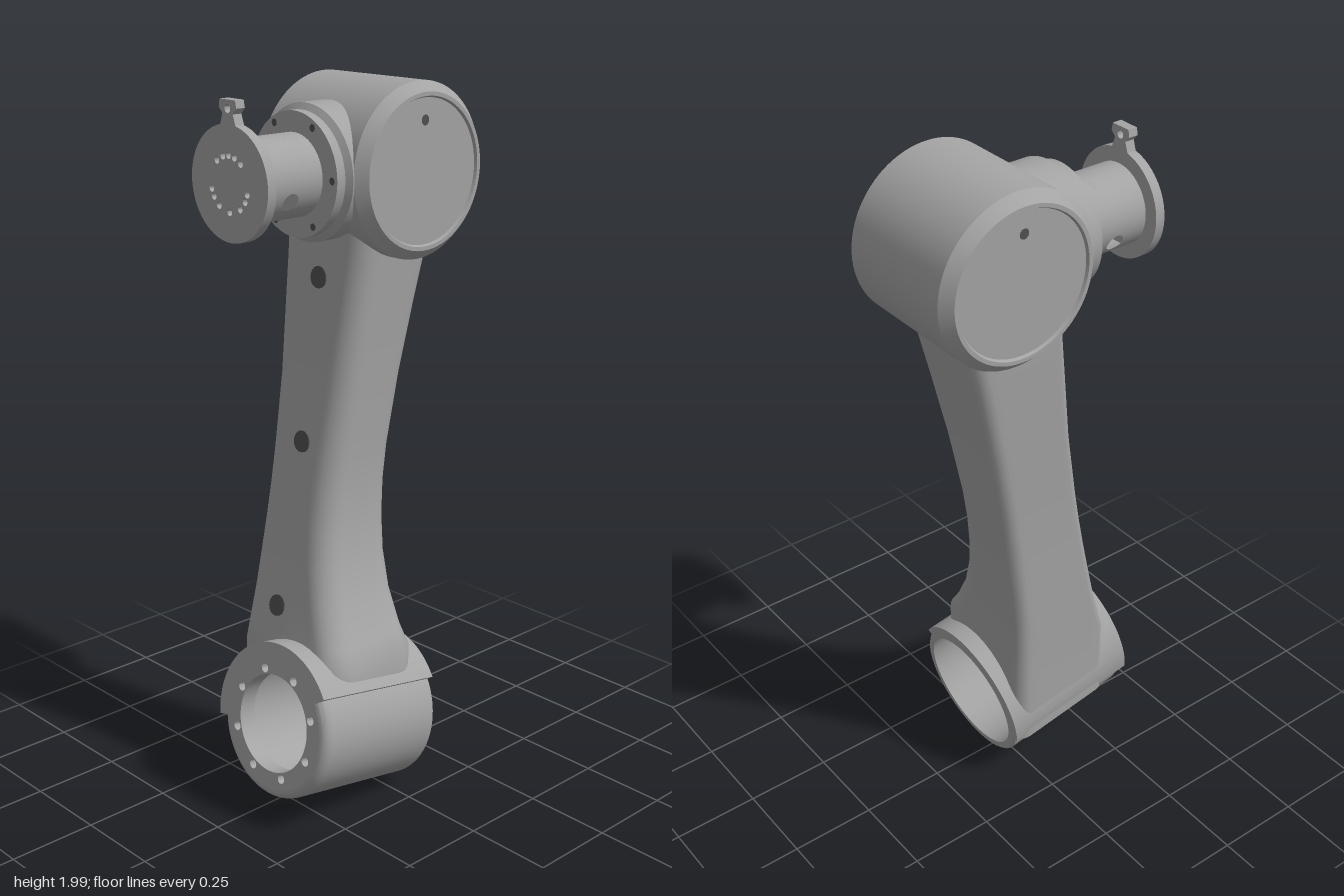
import * as THREE from 'three';
import { toCreasedNormals } from 'three/addons/utils/BufferGeometryUtils.js';

const metal = new THREE.MeshStandardMaterial({ color: 0xa4a4a4, side: THREE.DoubleSide });
metal.name = 'grey metal';
const dark = new THREE.MeshStandardMaterial({ color: 0x505050 });
dark.name = 'dark recess';

const V2 = (x, y) => new THREE.Vector2(x, y);
const WRIST_X = -0.06, HEAD_Y = 1.765;
const BASE = { x: 0.052, y: 0.25, z: 0.128, tilt: THREE.MathUtils.degToRad(10) };

function add(parent, name, geo, mat = metal) {
  const mesh = new THREE.Mesh(geo, mat);
  mesh.name = name;
  parent.add(mesh);
  return mesh;
}

const lathe = (pts, seg = 64) =>
  toCreasedNormals(new THREE.LatheGeometry(pts.map(p => V2(...p)), seg), 0.4);

// lathe turned so that its axis runs along +z
const latheZ = pts => lathe(pts).rotateX(Math.PI / 2);

function circleHole(shape, x, y, r) {
  shape.holes.push(new THREE.Path().absarc(x, y, r, 0, Math.PI * 2, true));
}

const extrude = (shape, depth, z) => toCreasedNormals(
  new THREE.ExtrudeGeometry(shape, { depth, bevelEnabled: false, curveSegments: 32 }), 0.4).translate(0, 0, z);

// Arm outline by height: y, left x, right x, front z, back z
const SECTIONS = [
  [0.00, -0.172, 0.215, 0.255, -0.07],
  [0.45, -0.172, 0.215, 0.252, -0.07],
  [0.50, -0.173, 0.18, 0.238, -0.07],
  [0.60, -0.175, 0.128, 0.21, -0.075],
  [0.70, -0.176, 0.093, 0.187, -0.086],
  [0.80, -0.177, 0.072, 0.165, -0.10],
  [0.90, -0.179, 0.062, 0.144, -0.114],
  [1.00, -0.182, 0.06, 0.125, -0.13],
  [1.20, -0.19, 0.065, 0.09, -0.17],
  [1.40, -0.20, 0.076, 0.064, -0.215],
  [1.53, -0.205, 0.085, 0.048, -0.245],
  [1.65, -0.208, 0.092, 0.04, -0.27],
];

// Rounded rectangle, counter-clockwise seen from above
function armOutline(xl, xr, zf, zb) {
  const corners = [
    [xl, zf, 1, -1, 0.025, Math.PI], [xr, zf, -1, -1, 0.065, 1.5 * Math.PI],
    [xr, zb, -1, 1, 0.075, 0], [xl, zb, 1, 1, 0.045, 0.5 * Math.PI],
  ];
  const arcs = corners.map(([x, z, sx, sz, r, start]) =>
    Array.from({ length: 7 }, (_, i) => {
      const a = start + i / 6 * Math.PI / 2;
      return V2(x + sx * r + r * Math.cos(a), z + sz * r - r * Math.sin(a));
    }));
  const out = [];
  arcs.forEach((arc, k) => {
    out.push(...arc);
    for (let i = 1; i < 10; i++) out.push(arc[6].clone().lerp(arcs[(k + 1) % 4][0], i / 10));
  });
  return out;
}

// Height of the base ring's wall at a point, so the arm ends on the ring
function saddleY(x, z) {
  const dx = x - BASE.x, axis = BASE.y + (z - BASE.z) * Math.tan(BASE.tilt);
  const v = Math.abs(dx) < 0.2 ? Math.sqrt(0.04 - dx * dx) : -0.06;
  return axis + v / Math.cos(BASE.tilt);
}

function armGeometry() {
  const pos = [], idx = [];
  let n = 0;
  SECTIONS.forEach(([y, ...dims], j) => {
    const ring = armOutline(...dims);
    n = ring.length;
    ring.forEach(p => pos.push(p.x, Math.max(y, saddleY(p.x, p.y)), p.y));
    if (j === 0) return;
    for (let i = 0; i < n; i++) {
      const a = (j - 1) * n + i, b = (j - 1) * n + (i + 1) % n;
      idx.push(a, b, b + n, a, b + n, a + n);
    }
  });
  const geo = new THREE.BufferGeometry();
  geo.setAttribute('position', new THREE.Float32BufferAttribute(pos, 3));
  geo.setIndex(idx);
  geo.computeVertexNormals();
  return geo;
}

// Wraps a flat sheet (angle, z) round the z axis
function roll(geo, r) {
  const p = geo.attributes.position, n = geo.attributes.normal;
  for (let i = 0; i < p.count; i++) {
    const c = Math.cos(p.getX(i)), s = Math.sin(p.getX(i));
    p.setXYZ(i, r * c, r * s, p.getY(i));
    n.setXYZ(i, c, s, 0);
  }
  return geo;
}

const sheet = (a0, a1, z0, z1, seg) =>
  new THREE.PlaneGeometry(a1 - a0, z1 - z0, seg, 1).translate((a0 + a1) / 2, (z0 + z1) / 2, 0);

function buildHead(model) {
  const head = new THREE.Group();
  head.name = 'head';
  head.position.set(WRIST_X, HEAD_Y, -0.137);
  model.add(head);
  // Chamfered drum with shallow recessed end covers
  add(head, 'headDrum', lathe([
    [0, -0.202], [0.193, -0.202], [0.197, -0.21], [0.208, -0.21], [0.235, -0.18],
    [0.235, 0.18], [0.208, 0.21], [0.197, 0.21], [0.193, 0.202], [0, 0.202],
  ], 96).rotateZ(-Math.PI / 2));
  for (const s of [-1, 1]) {
    const hole = add(head, 'coverHole', new THREE.CircleGeometry(0.014, 20), dark);
    hole.position.set(s * 0.204, 0.135, 0);
    hole.rotation.y = s * Math.PI / 2;
  }
}

function buildWrist(model) {
  const wrist = new THREE.Group();
  wrist.name = 'wrist';
  wrist.position.set(WRIST_X, HEAD_Y, 0);
  model.add(wrist);
  // Mounting pad on the drum, with six bolt holes
  add(wrist, 'wristPad', latheZ([[0, -0.1], [0.182, -0.1], [0.182, 0.1], [0.165, 0.112], [0.165, 0.14], [0, 0.14]]));
  for (let i = 0; i < 6; i++) {
    const a = i * Math.PI / 3;
    add(wrist, 'padBolt', new THREE.CircleGeometry(0.01, 16)
      .translate(0.147 * Math.cos(a), 0.147 * Math.sin(a), 0.142), dark);
  }
  // Hollow neck with a round opening on either side
  const r = 0.11, half = 0.33, z0 = 0.205, z1 = 0.275, centres = [-0.47, Math.PI + 0.47];
  add(wrist, 'neckRear', roll(sheet(0, Math.PI * 2, 0.13, z0, 64), r));
  add(wrist, 'neckFront', roll(sheet(0, Math.PI * 2, z1, 0.335, 64), r));
  add(wrist, 'neckTop', roll(sheet(centres[0] + half, centres[1] - half, z0, z1, 40), r));
  add(wrist, 'neckBottom', roll(sheet(centres[1] + half, centres[0] - half + 2 * Math.PI, z0, z1, 20), r));
  for (const c of centres) {
    const pts = [];
    for (let i = 0; i <= 6; i++) pts.push(V2(c - half + i / 3 * half, z0));
    for (let i = 6; i >= 0; i--) pts.push(V2(c - half + i / 3 * half, z1));
    const shape = new THREE.Shape(pts);
    shape.holes.push(new THREE.Path().absellipse(c, 0.24, 0.026 / r, 0.026, 0, Math.PI * 2, true));
    add(wrist, 'neckOpening', roll(new THREE.ShapeGeometry(shape, 16), r));
  }
  // Tool flange with a locating tab and a ring of holes
  const flange = new THREE.Shape();
  flange.absarc(0, 0, 0.15, Math.PI / 2 + 0.2, Math.PI * 2.5 - 0.2, false);
  for (const [x, y] of [[0.02, 0.175], [0.034, 0.19], [0.03, 0.21], [-0.03, 0.21], [-0.034, 0.19], [-0.02, 0.175]])
    flange.lineTo(x, y);
  circleHole(flange, 0, 0.188, 0.011);
  for (const deg of [50, 72, 90, 108, 130, 195, 212, 235, 270, 305, 328, 345])
    circleHole(flange, 0.072 * Math.cos(deg * Math.PI / 180), 0.072 * Math.sin(deg * Math.PI / 180), 0.009);
  add(wrist, 'toolFlange', extrude(flange, 0.028, 0.33));
}

function buildBase(model) {
  const base = new THREE.Group();
  base.name = 'base';
  base.position.set(BASE.x, BASE.y, BASE.z);
  base.rotation.x = -BASE.tilt;
  model.add(base);
  // Cup wall with a rounded front edge
  const edge = Array.from({ length: 7 }, (_, i) => {
    const a = i / 6 * Math.PI / 2;
    return [0.185 + 0.027 * Math.cos(a), 0.183 + 0.03 * Math.sin(a)];
  });
  add(base, 'baseRing', latheZ([[0.185, -0.213], [0.205, -0.213], [0.212, -0.206], ...edge, [0.185, -0.213]]));
  // Front wall with the bore and eight bolt holes
  const plate = new THREE.Shape().absarc(0, 0, 0.186, 0, Math.PI * 2, false);
  circleHole(plate, 0, 0, 0.137);
  for (let i = 0; i < 8; i++) {
    const a = (i + 0.5) * Math.PI / 4;
    circleHole(plate, 0.154 * Math.cos(a), 0.154 * Math.sin(a), 0.013);
  }
  add(base, 'basePlate', extrude(plate, 0.05, 0.163));
  // Raised clamp over the upper half
  const a0 = 0.63, a1 = 3.36;
  const clamp = new THREE.Shape();
  clamp.absarc(0, 0, 0.226, a0, a1, false);
  clamp.absarc(0, 0, 0.185, a1, a0, true);
  add(base, 'baseClamp', extrude(clamp, 0.426, -0.213));
}

export function createModel() {
  const model = new THREE.Group();
  model.name = 'robotArmLink';
  buildHead(model);
  buildWrist(model);
  add(model, 'arm', armGeometry());
  // Bolt recesses down the front of the arm: y, z, slope
  for (const [y, z, slope] of [[1.48, 0.054, 0.123], [1.03, 0.12, 0.175], [0.57, 0.2184, 0.28]]) {
    const hole = add(model, 'armBoltHole', new THREE.CylinderGeometry(0.03, 0.03, 0.008, 28).rotateX(Math.PI / 2), dark);
    hole.position.set(WRIST_X, y, z);
    hole.rotation.x = -Math.atan(slope);
  }
  buildBase(model);
  return model;
}
